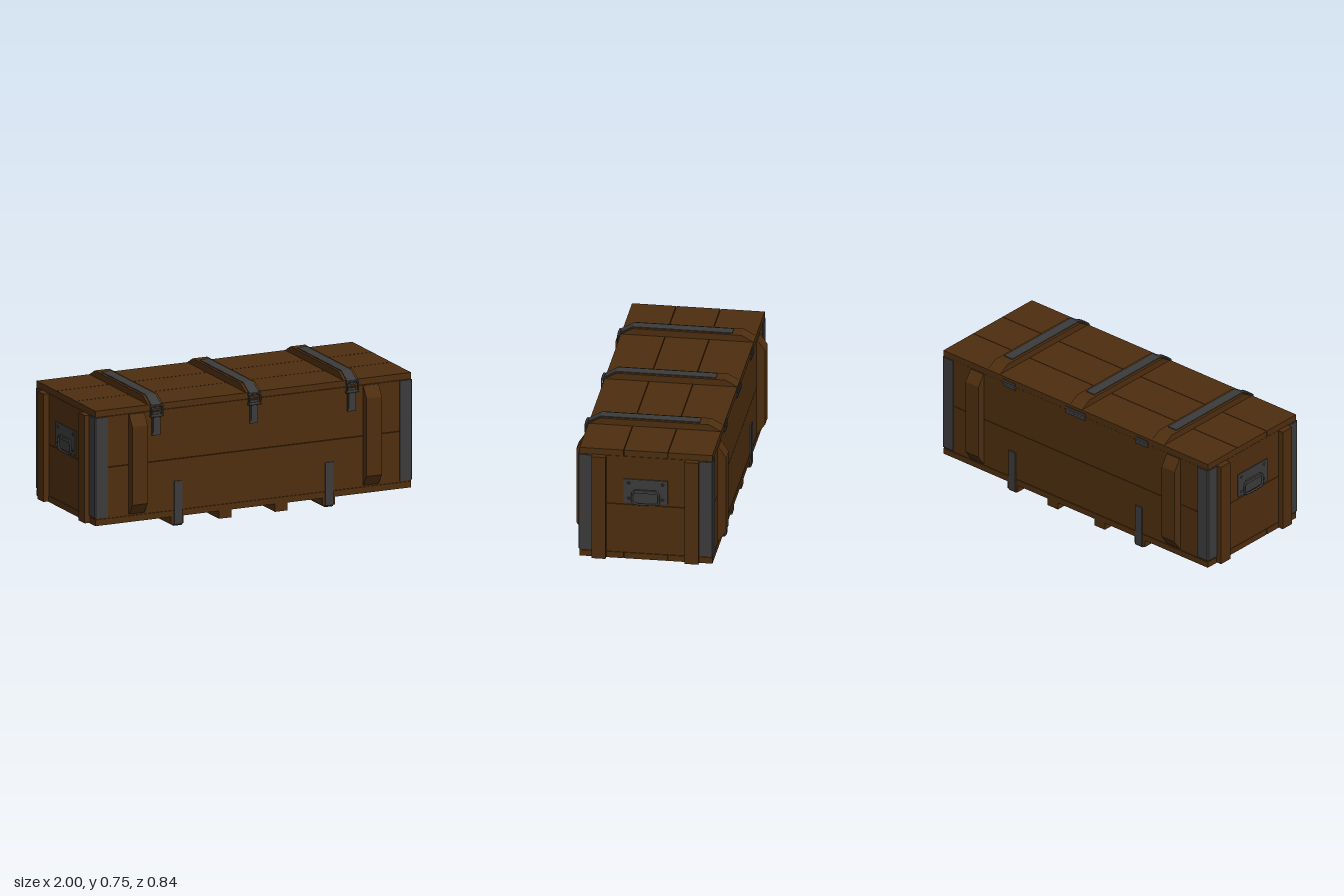
import * as THREE from 'three';

const wood = new THREE.MeshStandardMaterial({ color: 0x4e2e0f });
wood.name = 'brown wood';
const metal = new THREE.MeshStandardMaterial({ color: 0x3b3b3c });
metal.name = 'dark steel';

export function createModel() {
  const root = new THREE.Group();
  root.name = 'woodenCrate';

  const add = (name, geometry, material, x = 0, y = 0, z = 0, parent = root) => {
    const mesh = new THREE.Mesh(geometry, material);
    mesh.name = name;
    mesh.position.set(x, y, z);
    parent.add(mesh);
    return mesh;
  };
  // box given by its limits on each axis
  const box = (name, material, x0, x1, y0, y1, z0, z1, parent = root) =>
    add(name, new THREE.BoxGeometry(x1 - x0, y1 - y0, z1 - z0), material,
      (x0 + x1) / 2, (y0 + y1) / 2, (z0 + z1) / 2, parent);
  const shapeOf = (pts) => new THREE.Shape(pts.map(([a, b]) => new THREE.Vector2(a, b)));
  // (z, y) outline extruded along x, centred on x = 0
  const prism = (pts, width) =>
    new THREE.ExtrudeGeometry(shapeOf(pts), { depth: width, bevelEnabled: false })
      .translate(0, 0, -width / 2).rotateY(-Math.PI / 2);
  // closed wire with rounded corners, in the xy plane
  const wireLoop = (w, h, r, thick) => {
    const a = w / 2 - r, b = h / 2 - r, pts = [];
    [[a, b], [-a, b], [-a, -b], [a, -b]].forEach(([cx, cy], i) => {
      for (let k = 0; k <= 4; k++) {
        const t = (i + k / 4) * Math.PI / 2;
        pts.push(new THREE.Vector3(cx + r * Math.cos(t), cy + r * Math.sin(t), 0));
      }
    });
    const path = new THREE.CatmullRomCurve3(pts, true, 'centripetal');
    return new THREE.TubeGeometry(path, 64, thick, 8, true);
  };

  // lid and floor, three planks each
  for (const [z0, z1] of [[-0.372, -0.125], [-0.122, 0.121], [0.124, 0.369]]) {
    box('lidPlank', wood, -0.968, 0.968, 0.672, 0.708, z0, z1);
    box('floorPlank', wood, -0.968, 0.968, 0.053, 0.088, z0, z1);
  }
  // walls, two planks high
  for (const [y0, y1] of [[0.09, 0.379], [0.382, 0.67]]) {
    for (const s of [-1, 1]) {
      const side = [s * 0.34, s * 0.37].sort((a, b) => a - b);
      const end = [s * 0.935, s * 0.967].sort((a, b) => a - b);
      box('sidePlank', wood, -0.967, 0.967, y0, y1, ...side);
      box('endPlank', wood, ...end, y0, y1, -0.338, 0.338);
    }
  }

  // corner irons and upright battens
  const sideBatten = [[0.37, 0.1], [0.376, 0.1], [0.418, 0.16], [0.418, 0.605], [0.376, 0.668], [0.37, 0.668]];
  for (const sx of [-1, 1]) {
    for (const sz of [-1, 1]) {
      const corner = [[0.895, 0.369], [0.895, 0.376], [0.967, 0.376], [0.974, 0.37],
        [0.974, 0.3], [0.966, 0.3], [0.966, 0.369]].map(([x, z]) => [sx * x, sz * z]);
      const iron = new THREE.ExtrudeGeometry(shapeOf(corner), { depth: 0.57, bevelEnabled: false });
      add('cornerIron', iron.rotateX(-Math.PI / 2), metal, 0, 0.098, 0);
      add('sideBatten', prism(sideBatten.map(([z, y]) => [sz * z, y]), 0.094), wood, sx * 0.718);
      const endX = [sx * 0.967, sx * 1.0].sort((a, b) => a - b);
      const endZ = [sz * 0.22, sz * 0.298].sort((a, b) => a - b);
      box('endBatten', wood, ...endX, 0.056, 0.67, ...endZ);
    }
  }

  // runners under the floor, the outer two wrapped by steel straps
  for (const x of [-0.465, -0.172, 0.172, 0.465]) {
    box('runner', wood, x - 0.038, x + 0.038, 0.008, 0.053, -0.367, 0.367);
  }
  const floorStrap = [[-0.377, 0.255], [-0.377, 0.01], [-0.367, 0], [0.367, 0], [0.377, 0.01],
    [0.377, 0.255], [0.37, 0.255], [0.37, 0.009], [-0.37, 0.009], [-0.37, 0.255]];
  for (const x of [-0.463, 0.463]) add('floorStrap', prism(floorStrap, 0.05), metal, x);

  // lid battens with steel straps ending in latches
  const lidBatten = [[-0.37, 0.708], [-0.305, 0.745], [0.303, 0.745], [0.368, 0.708]];
  const lidStrap = [[-0.25, 0.744], [-0.25, 0.75], [0.305, 0.75], [0.374, 0.711], [0.378, 0.704],
    [0.378, 0.682], [0.369, 0.682], [0.369, 0.707], [0.303, 0.744]];
  for (const x of [-0.6, 0, 0.6]) {
    add('lidBatten', prism(lidBatten, 0.09), wood, x);
    add('lidStrap', prism(lidStrap, 0.06), metal, x);
    const latch = new THREE.Group();
    latch.name = 'latch';
    latch.position.x = x;
    root.add(latch);
    box('leverPlate', metal, -0.025, 0.025, 0.532, 0.665, 0.369, 0.38, latch);
    box('lever', metal, -0.02, 0.02, 0.55, 0.64, 0.38, 0.386, latch);
    add('latchWire', wireLoop(0.07, 0.06, 0.01, 0.005), metal, 0, 0.672, 0.386, latch);
    for (const [y, len] of [[0.645, 0.08], [0.7, 0.076]]) {
      const pin = new THREE.CylinderGeometry(0.007, 0.007, len, 10).rotateZ(Math.PI / 2);
      add('latchPin', pin, metal, 0, y, 0.383, latch);
    }
  }

  // hinges on the back edge
  for (const [x, w] of [[-0.485, 0.09], [0, 0.145], [0.485, 0.09]]) {
    const barrel = new THREE.CylinderGeometry(0.006, 0.006, w, 10).rotateZ(Math.PI / 2);
    add('hingeBarrel', barrel, metal, x, 0.671, -0.374);
    box('hingeLeaf', metal, x - w / 2, x + w / 2, 0.65, 0.692, -0.376, -0.37);
  }

  // handle plates on both ends
  for (const s of [-1, 1]) {
    const handle = new THREE.Group();
    handle.name = 'endHandle';
    handle.rotation.y = s * Math.PI / 2;
    handle.position.set(s * 0.967, 0, 0);
    root.add(handle);
    box('handlePlate', metal, -0.123, 0.123, 0.395, 0.536, 0, 0.006, handle);
    add('handleGrip', wireLoop(0.148, 0.078, 0.02, 0.006), metal, 0, 0.43, 0.012, handle);
    box('handleBracket', metal, -0.06, 0.06, 0.457, 0.476, 0.004, 0.017, handle);
    for (const x of [-0.095, 0.095]) {
      for (const y of [0.421, 0.513]) {
        const rivet = new THREE.CylinderGeometry(0.005, 0.009, 0.005, 10).rotateX(Math.PI / 2);
        add('rivet', rivet, metal, x, y, 0.008, handle);
      }
    }
  }
  return root;
}
